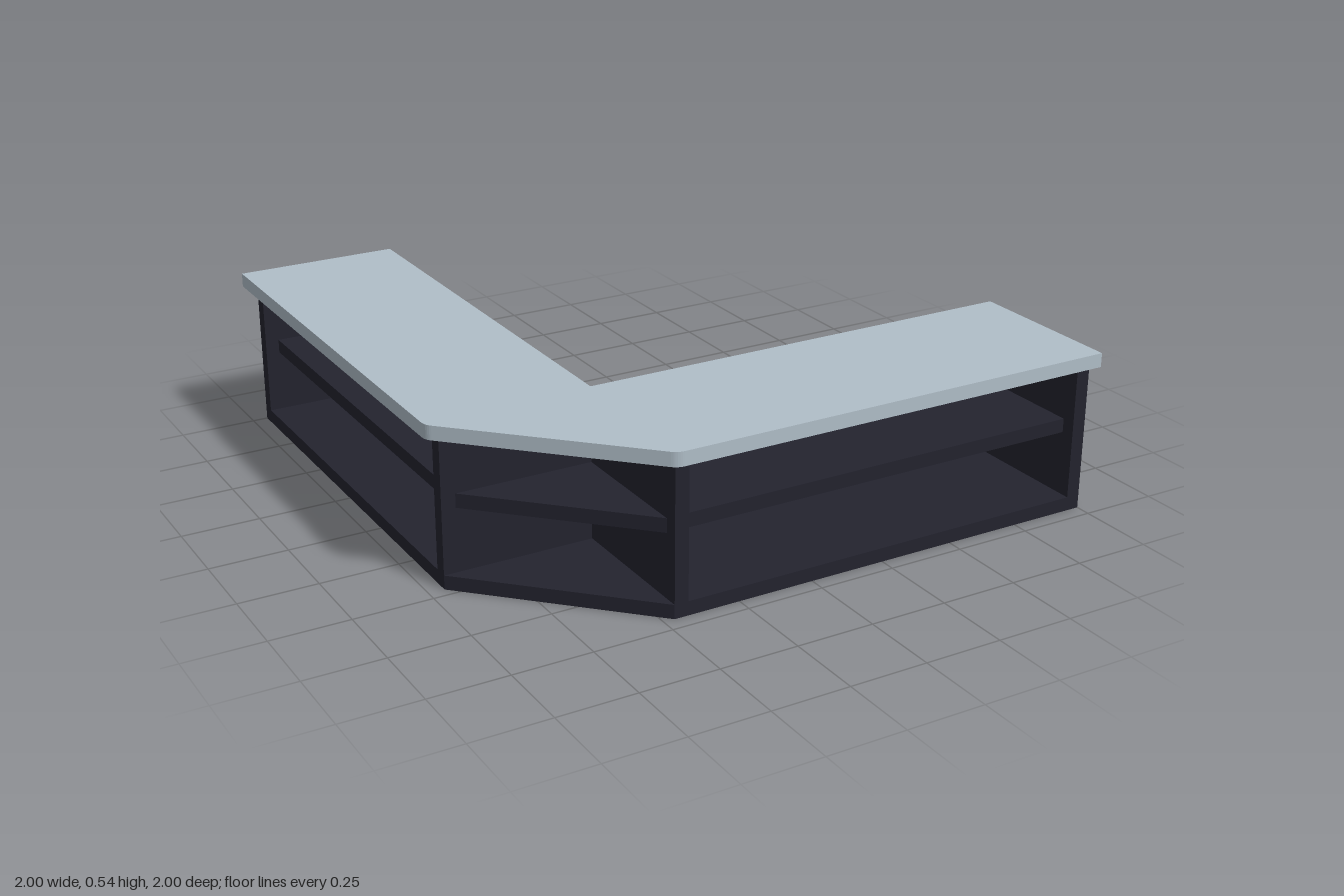
import * as THREE from 'three';

const T = 0.045;        // panel thickness
const IN = 0.465;       // inner wall line of both wings
const OUT = 0.95;       // outer cabinet front
const BODY_TOP = 0.49, TOP = 0.535;
const SHELF_Y = 0.25;

export function createModel() {
  const model = new THREE.Group();
  model.name = 'cornerCounter';

  const cabinetMat = new THREE.MeshStandardMaterial({ color: 0x23232e });
  cabinetMat.name = 'charcoal cabinet';
  const topMat = new THREE.MeshStandardMaterial({ color: 0xb0bec8 });
  topMat.name = 'pale blue grey worktop';

  // Horizontal slab from an outline of [x, z] points
  function slab(name, points, y0, y1, mat) {
    const shape = new THREE.Shape(points.map(([x, z]) => new THREE.Vector2(x, -z)));
    const geo = new THREE.ExtrudeGeometry(shape, { depth: y1 - y0, bevelEnabled: false });
    geo.rotateX(-Math.PI / 2);
    const mesh = new THREE.Mesh(geo, mat);
    mesh.name = name;
    mesh.position.y = y0;
    model.add(mesh);
  }

  // Box panel given by its extents
  function panel(parent, name, x0, x1, y0, y1, z0, z1) {
    const mesh = new THREE.Mesh(new THREE.BoxGeometry(x1 - x0, y1 - y0, z1 - z0), cabinetMat);
    mesh.name = name;
    mesh.position.set((x0 + x1) / 2, (y0 + y1) / 2, (z0 + z1) / 2);
    parent.add(mesh);
  }

  // Two open-fronted wings, the second mirrored across the corner diagonal
  for (const mirrored of [false, true]) {
    const wing = new THREE.Group();
    wing.name = mirrored ? 'sideWing' : 'frontWing';
    const add = (name, x0, x1, y0, y1, z0, z1) => mirrored
      ? panel(wing, name, -z1, -z0, y0, y1, -x1, -x0)
      : panel(wing, name, x0, x1, y0, y1, z0, z1);
    add('backPanel', -IN + T, 1 - T, T, BODY_TOP, IN, IN + T);
    add('endPanel', 1 - T, 1, T, BODY_TOP, IN, OUT);
    add('cornerDivider', -IN, -IN + T, T, BODY_TOP, IN, OUT);
    add('shelf', -IN + T, 1 - T, SHELF_Y, SHELF_Y + T, IN + T, OUT - T);
    model.add(wing);
  }

  // Cabinet floor
  slab('cabinetFloor', [
    [-IN, IN], [1, IN], [1, OUT], [-IN, OUT], [-OUT, IN], [-OUT, -1], [-IN, -1],
  ], 0, T, cabinetMat);

  // Triangular shelf in the angled corner
  slab('cornerShelf', [[-IN, IN], [-IN, OUT - T], [-OUT + T, IN]], SHELF_Y, SHELF_Y + T, cabinetMat);

  // Worktop overhanging the outer sides, with rounded corners at the diagonal
  const outline = [[-IN, IN], [1, IN], [1, 1]];
  const steps = 6, r = 1 - OUT;
  for (const [cx, cz, start] of [[-IN, OUT, Math.PI / 2], [-OUT, IN, Math.PI * 0.75]]) {
    for (let i = 0; i <= steps; i++) {
      const a = start + (i / steps) * Math.PI / 4;
      outline.push([cx + r * Math.cos(a), cz + r * Math.sin(a)]);
    }
  }
  outline.push([-1, -1], [-IN, -1]);
  slab('worktop', outline, BODY_TOP, TOP, topMat);

  return model;
}
